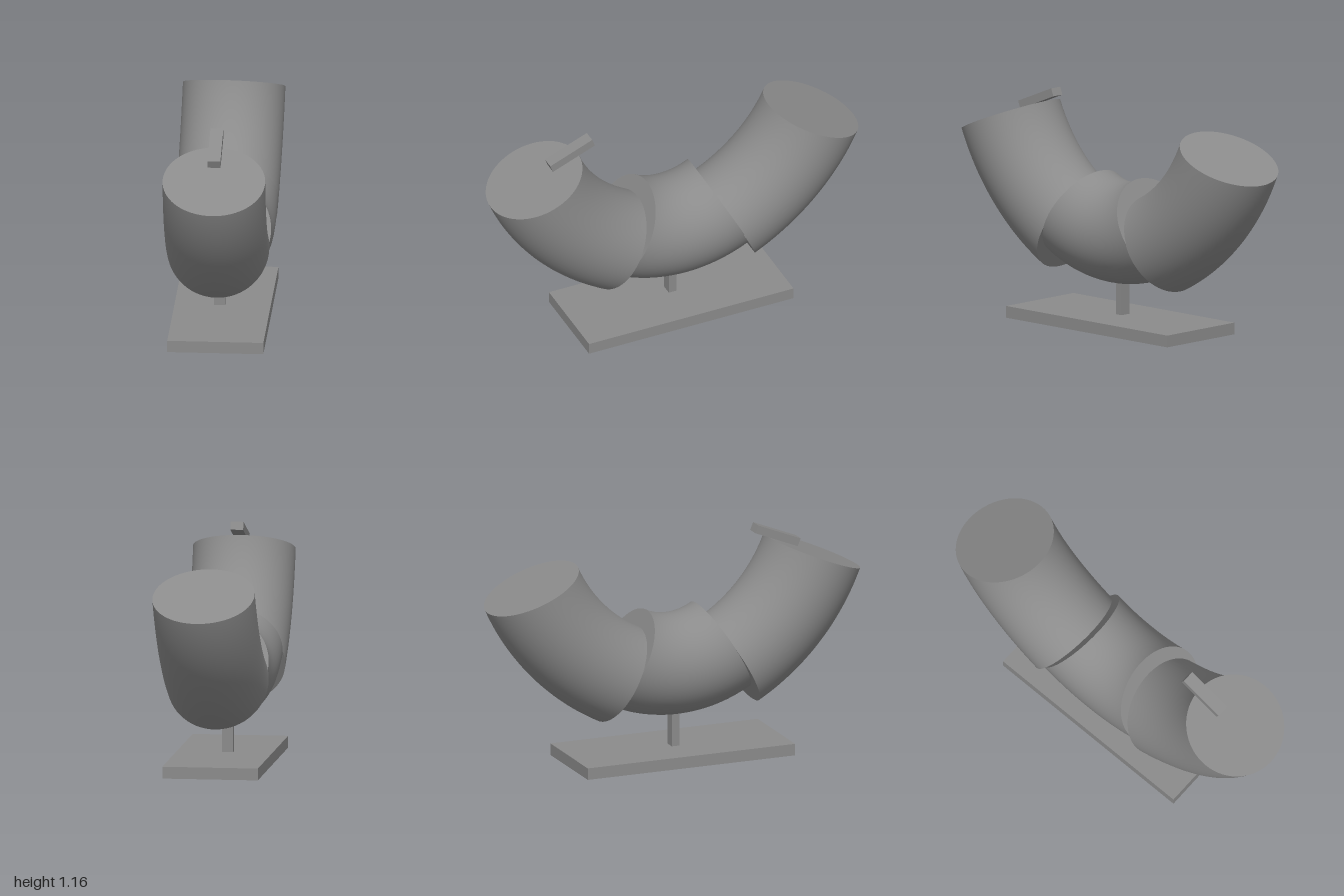
import * as THREE from 'three';
import { mergeGeometries } from 'three/addons/utils/BufferGeometryUtils.js';

const TUBE = 0.258;
const PIVOT = 0.81;
const material = new THREE.MeshStandardMaterial({ color: 0x8b8b8b });

// Solid bend in the z-y plane; angles in degrees from straight down, positive towards +z
function bend(name, radius, from, to, y, z, roll = 0) {
  const start = THREE.MathUtils.degToRad(from);
  const arc = THREE.MathUtils.degToRad(to - from);
  const cap = (tilt, turn) => new THREE.CircleGeometry(TUBE, 64)
    .rotateX(tilt).translate(radius, 0, 0).rotateZ(turn);
  const geometry = mergeGeometries([
    new THREE.TorusGeometry(radius, TUBE, 64, 40, arc),
    cap(Math.PI / 2, 0),
    cap(-Math.PI / 2, arc),
  ]);
  geometry.rotateZ(start - Math.PI / 2).rotateY(-Math.PI / 2).translate(0, y - PIVOT, z);
  const mesh = new THREE.Mesh(geometry, material);
  mesh.name = name;
  mesh.position.y = PIVOT;
  mesh.rotation.z = roll;
  return mesh;
}

function box(name, size, position) {
  const mesh = new THREE.Mesh(new THREE.BoxGeometry(...size), material);
  mesh.name = name;
  mesh.position.set(...position);
  return mesh;
}

export function createModel() {
  const model = new THREE.Group();
  model.name = 'pipeOnStand';

  // Three overlapping pipe sections, the outer two slightly rolled
  model.add(
    bend('middleBend', 0.54, -27.9, 29.7, 1.023, -0.001),
    bend('frontBend', 1.02, 28.9, 68, 1.367, -0.18, -0.018),
    bend('backBend', 1.02, -66.2, -27.1, 1.37, 0.17, -0.018),
  );

  // Stand
  model.add(
    box('base', [0.484, 0.06, 1.13], [-0.003, 0.03, 0.005]),
    box('post', [0.056, 0.26, 0.042], [-0.018, 0.18, 0.003]),
  );

  // Small bar resting on the front end
  const tab = box('tab', [0.065, 0.042, 0.25], [-0.002, 1.093, 0.565]);
  tab.rotation.x = 0.385;
  model.add(tab);

  return model;
}
